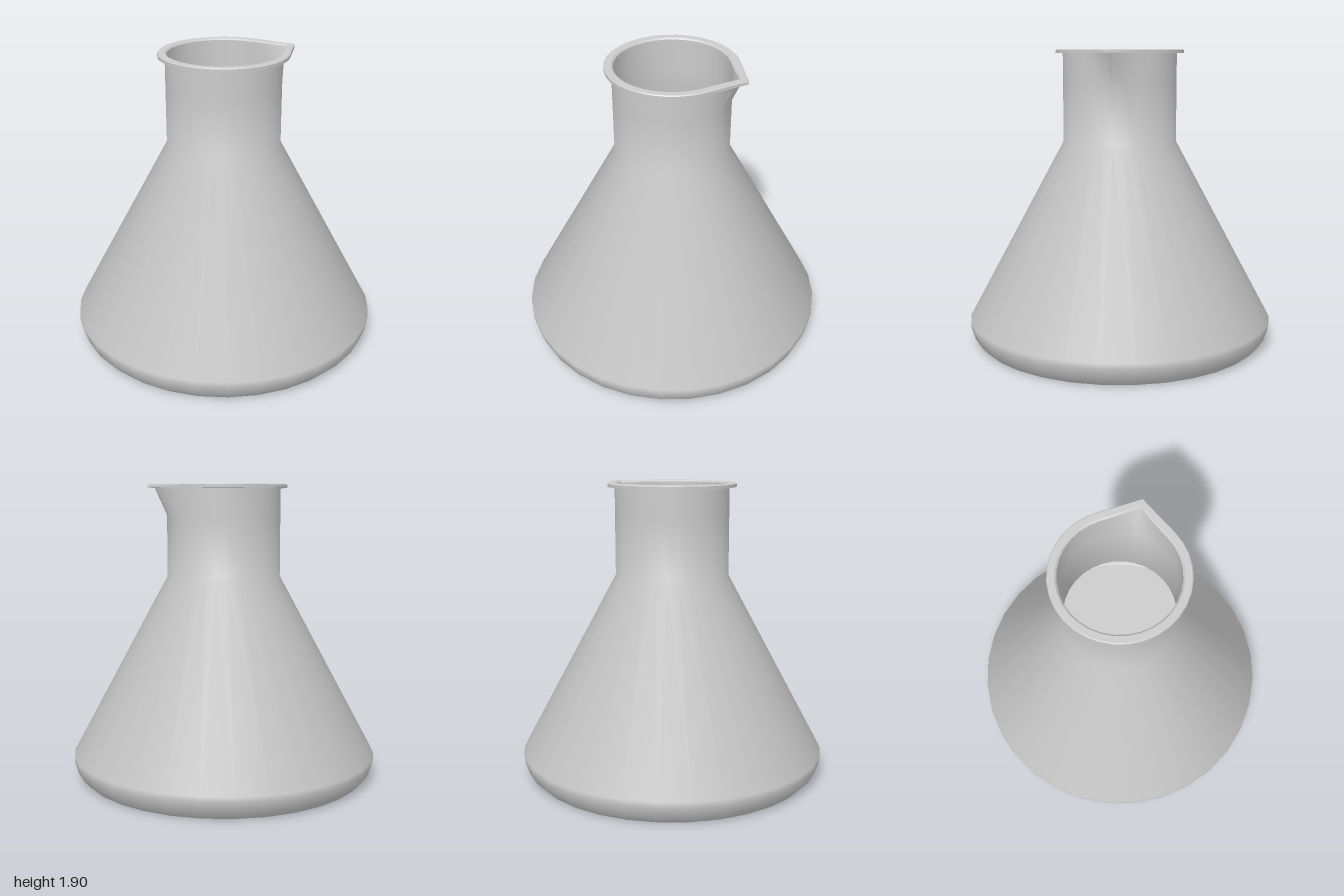
import * as THREE from 'three';
import { toCreasedNormals } from 'three/addons/utils/BufferGeometryUtils.js';

const SIDES = 32;
const SPOUT_ANGLE = THREE.MathUtils.degToRad(79.9); // lathe angle of the spout tip
const SPOUT_PUSH = [0.085, 0.034, 0.008]; // outward push per column away from the tip
const SPOUT_LOW = 1.69;
const RIM_LOW = 1.875;

// Lathe a profile, then pull the columns near the spout outwards
function turned(name, profile, material) {
  const points = profile.map(([r, y]) => new THREE.Vector2(r, y));
  const geo = new THREE.LatheGeometry(points, SIDES, SPOUT_ANGLE);
  const pos = geo.attributes.position;
  for (let i = 0; i < pos.count; i++) {
    const column = Math.floor(i / profile.length) % SIDES;
    const steps = Math.min(column, SIDES - column);
    const x = pos.getX(i), y = pos.getY(i), z = pos.getZ(i);
    const r = Math.hypot(x, z);
    if (steps >= SPOUT_PUSH.length || r < 0.01) continue;
    const rise = THREE.MathUtils.clamp((y - SPOUT_LOW) / (RIM_LOW - SPOUT_LOW), 0, 1);
    const scale = (r + SPOUT_PUSH[steps] * rise) / r;
    pos.setXYZ(i, x * scale, y, z * scale);
  }
  const mesh = new THREE.Mesh(toCreasedNormals(geo, THREE.MathUtils.degToRad(42)), material);
  mesh.name = name;
  return mesh;
}

export function createModel() {
  const group = new THREE.Group();
  group.name = 'conicalFlask';
  const material = new THREE.MeshStandardMaterial({ color: 0xcccccc, side: THREE.DoubleSide });

  // Flat bottom, rounded heel, cone and neck
  group.add(turned('outerWall', [
    [0, 0], [0.93, 0], [0.972, 0.045], [0.997, 0.12], [0.995, 0.15],
    [0.367, 1.31], [0.367, SPOUT_LOW], [0.367, RIM_LOW],
  ], material));

  // Thin flared lip with the pouring point
  group.add(turned('rim', [
    [0.367, RIM_LOW], [0.412, RIM_LOW], [0.412, 1.894], [0.406, 1.9],
    [0.366, 1.9], [0.355, 1.89],
  ], material));

  // Inside of the neck, cone and floor
  group.add(turned('innerWall', [
    [0.355, 1.89], [0.355, SPOUT_LOW], [0.355, 1.307], [0.981, 0.15],
    [0.983, 0.12], [0.96, 0.052], [0.925, 0.012], [0, 0.012],
  ], material));

  return group;
}
